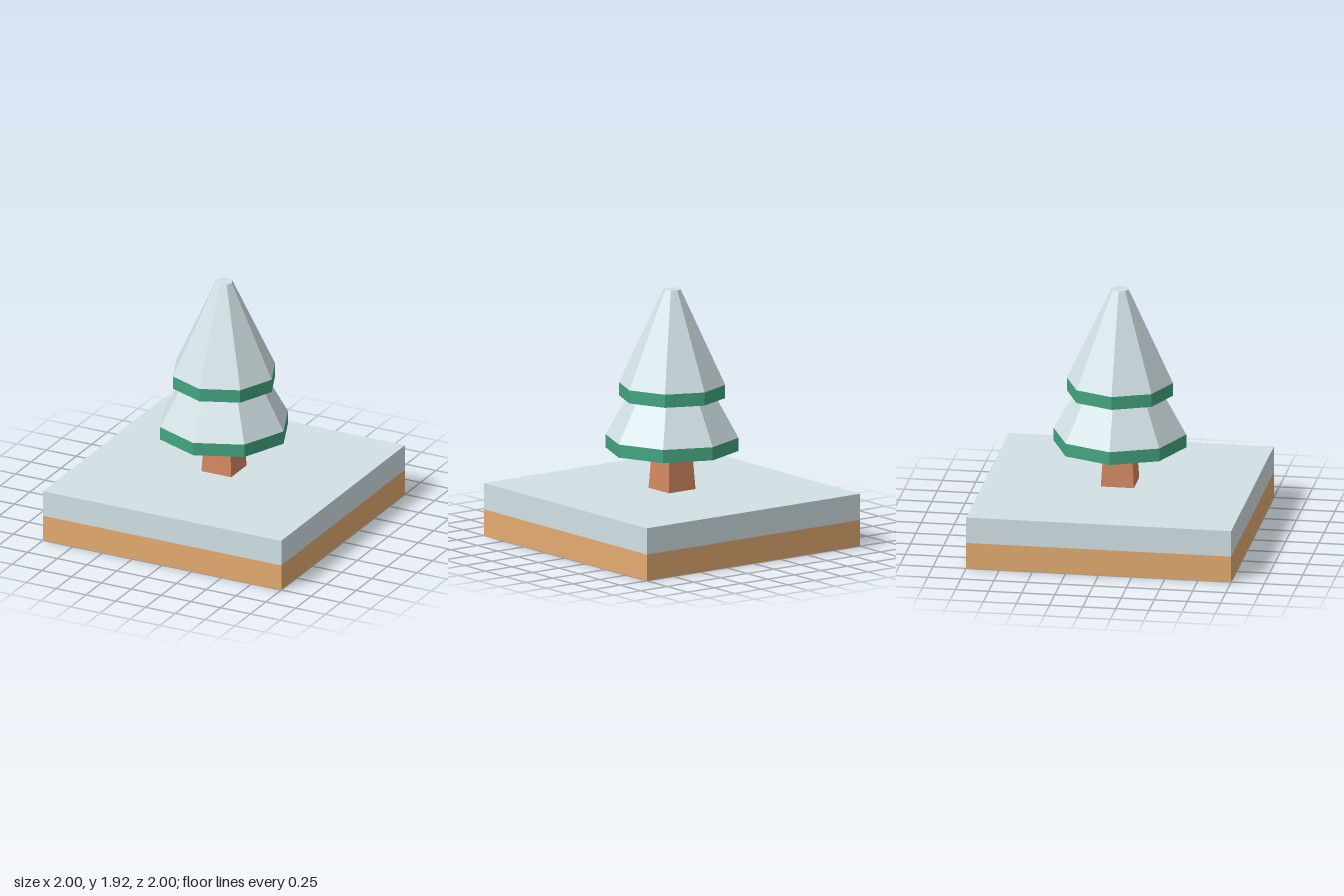
import * as THREE from 'three';

const paint = (color) => new THREE.MeshStandardMaterial({ color, flatShading: true });

export function createModel() {
  const model = new THREE.Group();
  const snow = paint(0xd2e1e5);
  const dirt = paint(0xe4ab70);
  const bark = paint(0xd38761);
  const leaf = paint(0x43a581);

  const add = (name, geometry, material, y, parent = model) => {
    const mesh = new THREE.Mesh(geometry, material);
    mesh.name = name;
    mesh.position.y = y;
    parent.add(mesh);
    return mesh;
  };

  // tapered prism standing on height y0
  const prism = (name, material, sides, rBottom, rTop, y0, y1, parent, open = false) =>
    add(name, new THREE.CylinderGeometry(rTop, rBottom, y1 - y0, sides, 1, open), material, (y0 + y1) / 2, parent);

  // ground block: earth with a layer of snow
  const ground = new THREE.Group();
  ground.name = 'ground';
  model.add(ground);
  const slab = (name, material, y0, y1, hiddenFace) => {
    const geometry = new THREE.BoxGeometry(2, y1 - y0, 2);
    // drop the face where the two layers touch
    const index = Array.from(geometry.index.array);
    index.splice(hiddenFace * 6, 6);
    geometry.setIndex(index);
    geometry.clearGroups();
    add(name, geometry, material, (y0 + y1) / 2, ground);
  };
  slab('earthLayer', dirt, 0, 0.2, 2);
  slab('snowLayer', snow, 0.2, 0.4, 3);

  // square trunk
  const trunk = prism('trunk', bark, 4, 0.125 * Math.SQRT2, 0.107 * Math.SQRT2, 0.4, 0.7, model, true);
  trunk.rotation.y = Math.PI / 4;

  // two tiers: green rim below, snowy eight-sided cone above
  const tiers = [
    { name: 'lowerTier', r: 0.5, rTop: 0.333, y: 0.7, top: 1.1 },
    { name: 'upperTier', r: 0.4, rTop: 0.065, y: 1.1, top: 1.92 },
  ];
  for (const { name, r, rTop, y, top } of tiers) {
    const tier = new THREE.Group();
    tier.name = name;
    model.add(tier);
    prism('branchRim', leaf, 8, r, r, y, y + 0.1, tier, true);
    prism('snowCone', snow, 8, r, rTop, y + 0.1, top, tier, true);
    // underside of the branches
    const underside = add('branchUnderside', new THREE.CircleGeometry(r, 8), leaf, y, tier);
    underside.rotation.x = Math.PI / 2;
  }

  // flat tip
  const tip = add('snowTip', new THREE.CircleGeometry(0.065, 8), snow, 1.92);
  tip.rotation.x = -Math.PI / 2;

  return model;
}
